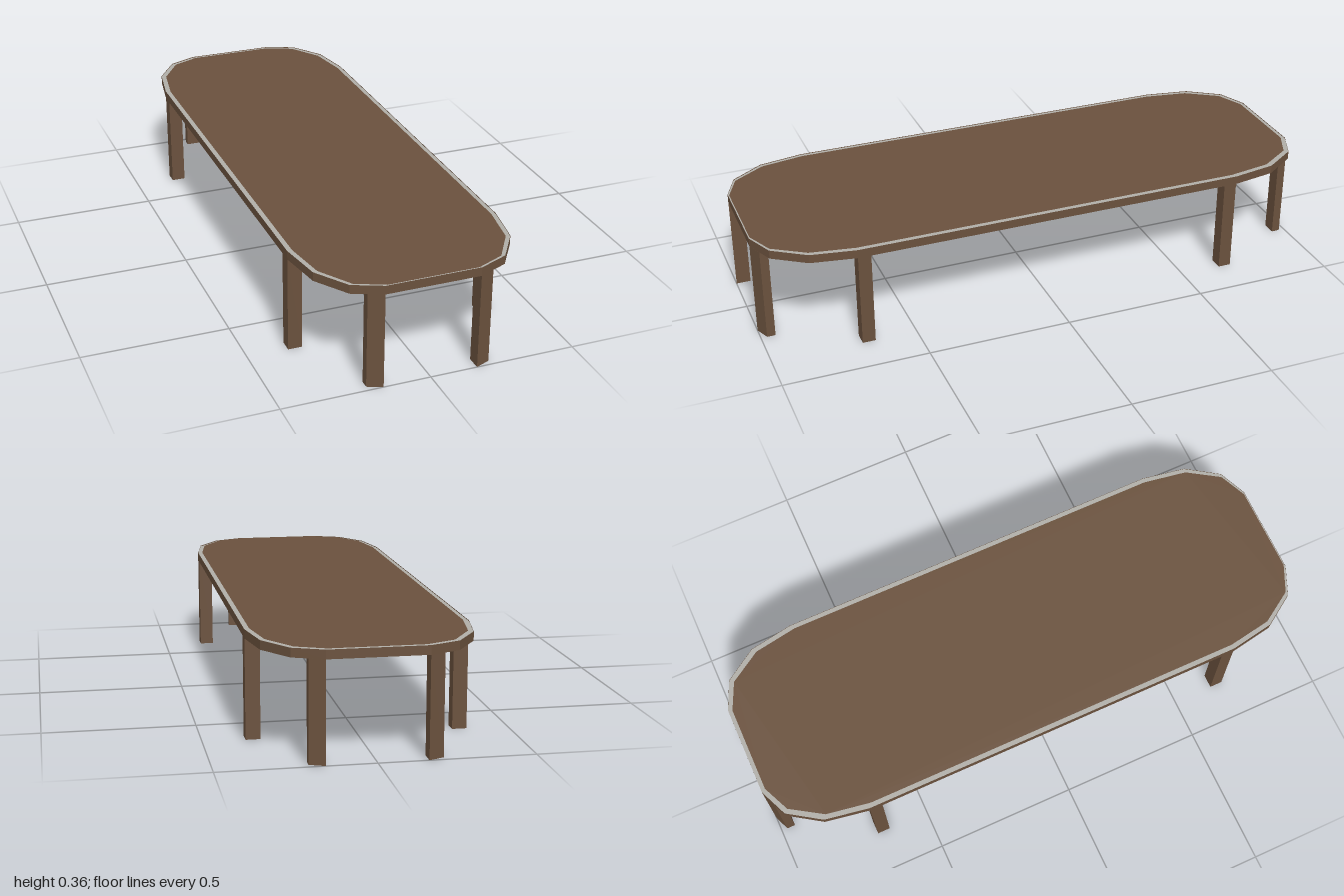
import * as THREE from 'three';

const material = (name, color, side = THREE.FrontSide) => {
  const m = new THREE.MeshStandardMaterial({ color, side });
  m.name = name;
  return m;
};

// One quarter of the tabletop outline as [x, z], mirrored into a full loop
const QUARTER = [[0.362, 0.69], [0.335, 0.845], [0.26, 0.957], [0.16, 1]];
const flipX = pts => pts.map(([x, z]) => [-x, z]).reverse();
const flipZ = pts => pts.map(([x, z]) => [x, -z]).reverse();
const HALF = [...QUARTER, ...flipX(QUARTER)];
const OUTLINE = [...HALF, ...flipZ(HALF)];

const toShape = pts => new THREE.Shape(pts.map(([x, z]) => new THREE.Vector2(x, -z)));

// Flat sheet facing up or down
function sheet(pts, y, up) {
  const g = new THREE.ShapeGeometry(toShape(pts));
  g.rotateX(-Math.PI / 2);
  if (!up) {
    const index = Array.from(g.index.array).reverse();
    g.setIndex(index);
    g.computeVertexNormals();
  }
  return g.translate(0, y, 0);
}

// Open upright wall around a loop of [x, z] points
function wall(pts, y0, y1) {
  const pos = [];
  pts.forEach(([ax, az], i) => {
    const [bx, bz] = pts[(i + 1) % pts.length];
    pos.push(ax, y0, az, ax, y1, az, bx, y1, bz, ax, y0, az, bx, y1, bz, bx, y0, bz);
  });
  // Corners are ordered so that the faces point outwards
  const area = pts.reduce((s, [ax, az], i) => {
    const [bx, bz] = pts[(i + 1) % pts.length];
    return s + ax * bz - az * bx;
  }, 0);
  if (area < 0) {
    for (let i = 0; i < pos.length; i += 9) {
      for (let k = 0; k < 3; k++) [pos[i + k], pos[i + 6 + k]] = [pos[i + 6 + k], pos[i + k]];
    }
  }
  const g = new THREE.BufferGeometry();
  g.setAttribute('position', new THREE.Float32BufferAttribute(pos, 3));
  g.computeVertexNormals();
  return g;
}

export function createModel() {
  const group = new THREE.Group();
  group.name = 'table';
  const wood = material('brown wood', 0x6a513d, THREE.DoubleSide);
  const trim = material('grey trim', 0xb0aea8);
  const under = material('dark underside', 0x36342f);
  const add = (name, geometry, mat) => {
    const mesh = new THREE.Mesh(geometry, mat);
    mesh.name = name;
    group.add(mesh);
  };

  // Tabletop: rim, trim border, wooden surface and underside
  add('rim', wall(OUTLINE, 0.33, 0.36), wood);
  add('trimBorder', sheet(OUTLINE, 0.3575, true), trim);
  const inner = OUTLINE.map(([x, z]) => [x * 0.955, z * 0.991 + 0.005]);
  add('topSurface', sheet(inner, 0.36, true), wood);
  add('underside', sheet(OUTLINE, 0.33, false), under);

  // Hollow legs: end legs follow the angled corner, side legs are square
  const endLeg = [[0.16, 0.95], [0.21, 0.95], [0.21, 0.979], [0.16, 1]];
  const sideLeg = [[0.314, 0.645], [0.362, 0.645], [0.362, 0.69], [0.314, 0.69]];
  for (const [name, leg] of [['endLeg', endLeg], ['sideLeg', sideLeg]]) {
    for (const pts of [leg, flipX(leg), flipZ(leg), flipX(flipZ(leg))]) {
      add(name, wall(pts, 0, 0.33), wood);
    }
  }
  return group;
}
